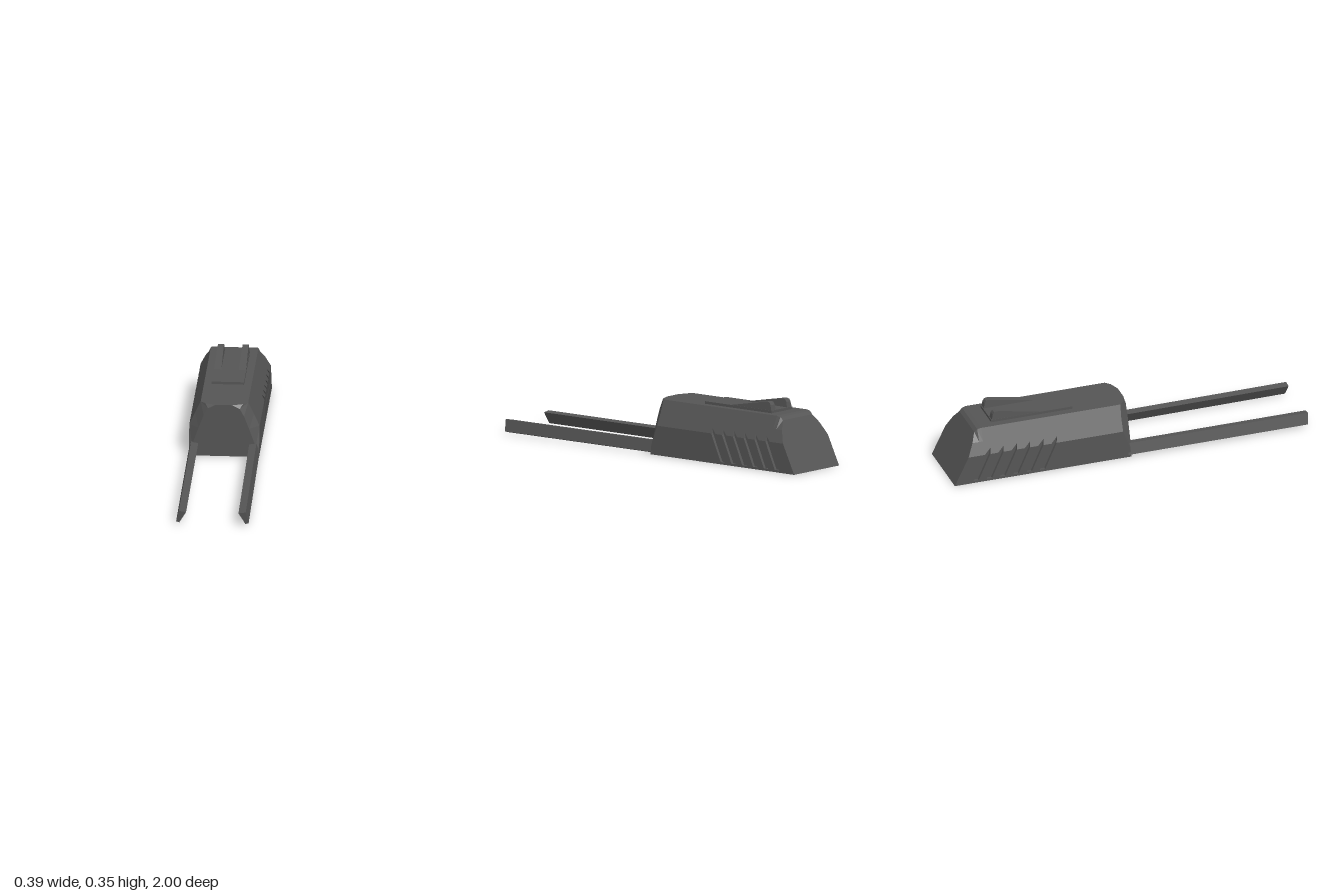
import * as THREE from 'three';

const material = new THREE.MeshStandardMaterial({ color: 0x555555, flatShading: true });

// Collects triangles and quads (counter-clockwise from outside).
class Surface {
  constructor() { this.tris = []; }
  tri(a, b, c) { this.tris.push([a, b, c]); }
  quad(a, b, c, d) { this.tri(a, b, c); this.tri(a, c, d); }
  // Polygon of (u, y) points on the +x side, u = -z, with x given by a rule.
  sidePolygon(points, xAt) {
    const contour = points.map(([u, y]) => new THREE.Vector2(u, y));
    for (const face of THREE.ShapeUtils.triangulateShape(contour, [])) {
      const [a, b, c] = face.map((i) => contour[i]);
      const area = (b.x - a.x) * (c.y - a.y) - (c.x - a.x) * (b.y - a.y);
      const [p, q, r] = (area > 0 ? [a, b, c] : [a, c, b]).map((v) => [xAt(v.y), v.y, -v.x]);
      this.tri(p, q, r);
    }
  }
  mirrorX() {
    const flip = ([x, y, z]) => [-x, y, z];
    this.tris.push(...this.tris.map(([a, b, c]) => [flip(a), flip(c), flip(b)]));
  }
  mesh(name) {
    const geometry = new THREE.BufferGeometry();
    geometry.setAttribute('position', new THREE.Float32BufferAttribute(this.tris.flat(2), 3));
    geometry.computeVertexNormals();
    const mesh = new THREE.Mesh(geometry, material);
    mesh.name = name;
    return mesh;
  }
}

// Housing: half shell lofted front to back, with slotted side panels, then mirrored.
function makeHousing() {
  const s = new Surface();
  const top = 0.293, crease = 0.16;
  const full = [[0, 0], [0.188, 0], [0.188, 0.05], [0.188, crease], [0.1575, 0.2265], [0.127, top], [0.1, top], [0, top]];
  const front = [[0, 0], [0.184, 0], [0.17, 0.06], [0.135, crease], [0.108, 0.23], [0.085, 0.272], [0.045, top], [0, top]];
  const bevelZ = [-0.005, -0.005, -0.01, -0.05, -0.05, -0.045, -0.02, -0.02];
  const backZ = (y) => -1 + 0.485 * y;
  // Ring whose upper edge is pulled down to form the rounded rear edge.
  const rear = (edgeY, inset, zAt) => full.map(([x, y]) => {
    const h = Math.min(y, edgeY);
    return [y === top ? Math.max(x - inset, 0) : x, h, zAt(h)];
  });
  const rings = [
    front.map(([x, y]) => [x, y, 0]),
    full.map(([x, y], i) => [x, y, bevelZ[i]]),
    rear(top, 0, () => -0.83),
    rear(0.288, 0.002, () => -0.852),
    rear(0.272, 0.006, backZ),
  ];
  for (let r = 0; r < rings.length - 1; r++) {
    for (let i = 0; i < 7; i++) {
      if (r > 0 && i >= 1 && i <= 3) continue; // filled by the slotted panels
      s.quad(rings[r][i], rings[r + 1][i], rings[r + 1][i + 1], rings[r][i + 1]);
    }
  }
  // End caps
  const mid = ([, y, z]) => [0, y, z];
  const first = rings[0], last = rings[rings.length - 1];
  for (let i = 0; i < 7; i++) {
    s.quad(mid(first[i]), first[i], first[i + 1], mid(first[i + 1]));
    s.quad(last[i], mid(last[i]), mid(last[i + 1]), last[i + 1]);
  }

  // Side panels with six slanted vents crossing the crease
  const wallX = (y) => (y <= crease ? 0.188 : 0.188 - (y - crease) * 0.4586);
  const floorX = 0.172, low = 0.012;
  const vents = Array.from({ length: 6 }, (_, i) => 0.42 + 0.075 * i);
  const edge = (ring, i) => [-ring[i][2], ring[i][1]];
  const bevel = rings[1];
  s.sidePolygon([
    edge(bevel, 1), edge(last, 1), edge(last, 2), edge(last, 3),
    ...[...vents].reverse().flatMap((u) => [[u + 0.035, crease], [u + 0.1, low], [u + 0.07, low], [u + 0.005, crease]]),
    edge(bevel, 3), edge(bevel, 2),
  ], wallX);
  s.sidePolygon([
    edge(bevel, 3),
    ...vents.flatMap((u) => [[u + 0.005, crease], [u, 0.19], [u + 0.035, crease]]),
    edge(last, 3), edge(last, 4), edge(bevel, 4),
  ], wallX);
  for (const u of vents) {
    const outline = [[u + 0.07, low], [u + 0.1, low], [u + 0.035, crease], [u, 0.19], [u + 0.005, crease]];
    s.sidePolygon(outline, () => floorX);
    outline.forEach((p, i) => {
      const q = outline[(i + 1) % outline.length];
      const at = ([v, y], x) => [x, y, -v];
      s.quad(at(p, wallX(p[1])), at(q, wallX(q[1])), at(q, floorX), at(p, floorX));
    });
  }
  s.mirrorX();
  return s.mesh('housing');
}

// Long slanted prong; the root section is shifted sideways from the tip.
function makeProng(side, shift) {
  const s = new Surface();
  const section = [[0.14, 0.071], [0.177, 0.008], [0.194, 0.014], [0.179, 0.077]];
  const tip = section.map(([x, y]) => [side * x, y, 1 - (0.078 - y) * 0.1]);
  const root = section.map(([x, y]) => [side * x + shift, y, -0.02]);
  if (side < 0) { tip.reverse(); root.reverse(); }
  s.quad(...tip);
  s.quad(...[...root].reverse());
  for (let i = 0; i < 4; i++) {
    const j = (i + 1) % 4;
    s.quad(tip[i], root[i], root[j], tip[j]);
  }
  return s.mesh(side > 0 ? 'leftProng' : 'rightProng');
}

// Raised sight fin, ramping up to the rear and narrowing upward.
function makeFin(x, name) {
  const profile = [[0.48, 0.3], [0.757, 0.3], [0.75, 0.335], [0.742, 0.348], [0.728, 0.352], [0.7, 0.348], [0.48, 0.307]];
  const shape = new THREE.Shape(profile.map(([u, y]) => new THREE.Vector2(u, y)));
  const geometry = new THREE.ExtrudeGeometry(shape, { depth: 0.04, bevelEnabled: false });
  geometry.rotateY(Math.PI / 2).translate(-0.02, 0, 0);
  const p = geometry.attributes.position;
  for (let i = 0; i < p.count; i++) p.setX(i, p.getX(i) * (1 - (p.getY(i) - 0.3) * 3.8));
  geometry.computeVertexNormals();
  const mesh = new THREE.Mesh(geometry, material);
  mesh.name = name;
  mesh.position.x = x;
  return mesh;
}

export function createModel() {
  const model = new THREE.Group();
  model.name = 'model';

  const body = new THREE.Group();
  body.name = 'body';
  body.position.x = -0.007;
  body.add(makeHousing());

  // Top plate
  const plate = new THREE.Mesh(new THREE.BoxGeometry(0.174, 0.027, 0.46), material);
  plate.name = 'topPlate';
  plate.position.set(0, 0.2935, -0.53);
  body.add(plate, makeFin(0.066, 'leftFin'), makeFin(-0.066, 'rightFin'));

  model.add(body, makeProng(1, -0.012), makeProng(-1, -0.004));
  return model;
}
